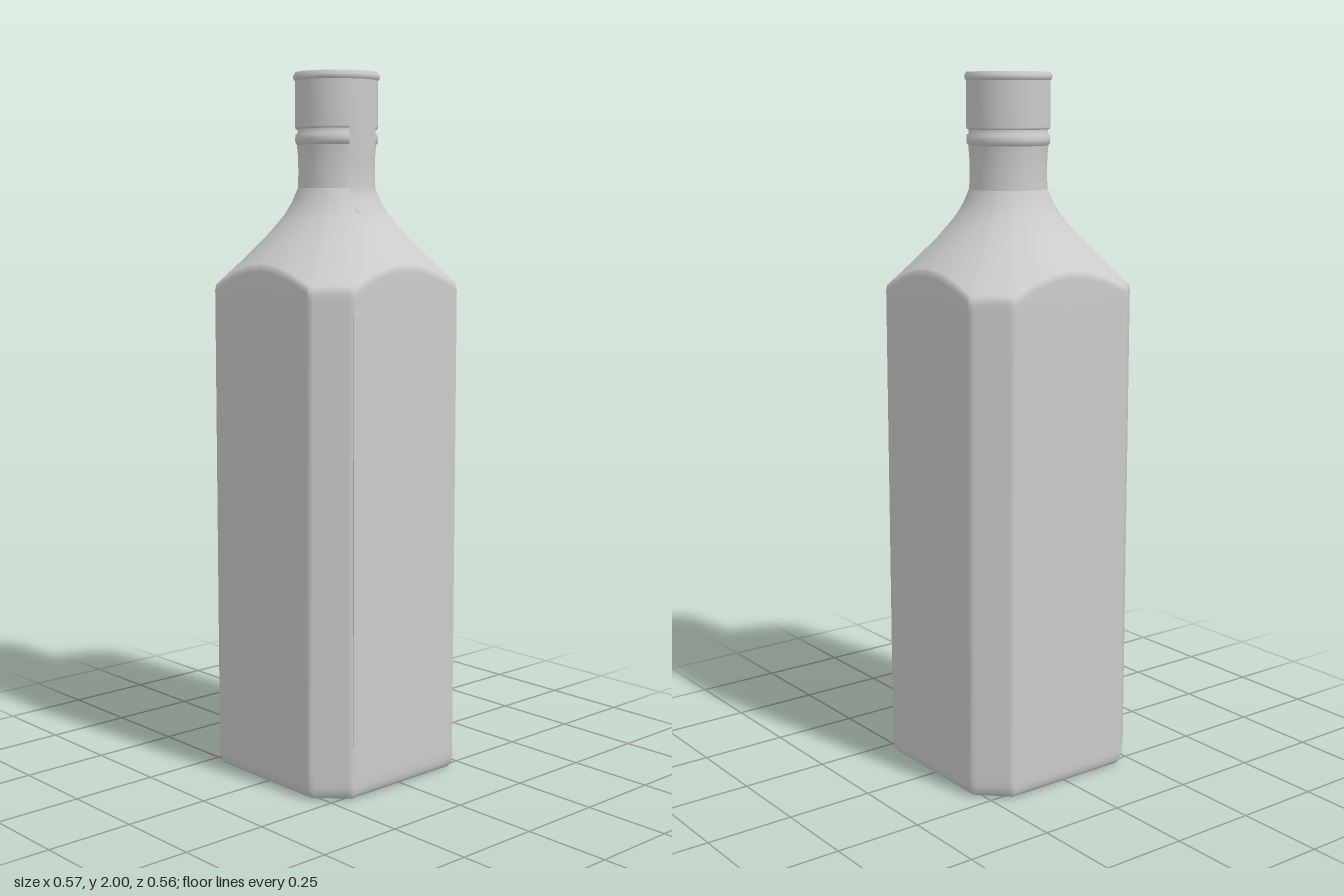
import * as THREE from 'three';

const HALF = 0.282, FLAT = 0.2;          // half width of the body, half width of its flat faces
const material = new THREE.MeshStandardMaterial({ color: 0xcccccc });

// Shoulder height as a function of distance from the axis
const shoulder = [[0.11, 1.68], [0.122, 1.648], [0.15, 1.602], [0.2, 1.545], [0.282, 1.465], [0.345, 1.408]];
function shoulderY(r) {
  let i = 0;
  while (i < shoulder.length - 2 && r > shoulder[i + 1][0]) i++;
  const [r0, y0] = shoulder[i], [r1, y1] = shoulder[i + 1];
  return y0 + (y1 - y0) * (r - r0) / (r1 - r0);
}

// Square outline with cut corners, running from +x towards +z
function outline() {
  const side = [-0.2, -0.19, -0.12, -0.06, 0, 0.06, 0.12, 0.19].map(s => [HALF, s]);
  for (const t of [0, 0.1, 0.5, 0.9]) {
    const d = t * (HALF - FLAT);
    side.push([HALF - d, FLAT + d]);
  }
  const points = [];
  for (let q = 0; q < 4; q++) {
    for (const [x, z] of side) {
      points.push(q === 0 ? [x, z] : q === 1 ? [-z, x] : q === 2 ? [-x, -z] : [z, -x]);
    }
  }
  return points;
}

// Grid of vertices from rings, closed around the axis
function loft(rings) {
  const n = rings[0].length, index = [];
  for (let i = 0; i < rings.length - 1; i++) {
    for (let j = 0; j < n; j++) {
      const k = (j + 1) % n, a = i * n + j, b = i * n + k, c = a + n, d = b + n;
      index.push(a, c, b, b, c, d);
    }
  }
  const geometry = new THREE.BufferGeometry();
  geometry.setAttribute('position', new THREE.Float32BufferAttribute(rings.flat(2), 3));
  geometry.setIndex(index);
  geometry.computeVertexNormals();
  return geometry;
}

function bodyGeometry() {
  const points = outline(), rings = [];
  const scaled = (s, y) => points.map(([x, z]) => [x * s, y, z * s]);
  // hollow in the base, blending from round to the outer outline
  for (const [r, y] of [[0.001, 0.085], [0.03, 0.08], [0.06, 0.06], [0.085, 0.035], [0.11, 0.022], [0.16, 0.012]]) {
    rings.push(points.map(([x, z]) => {
      const l = Math.hypot(x, z);
      return [x / l * r, y, z / l * r];
    }));
  }
  // rounded foot
  for (const [s, y] of [[0.88, 0.002], [0.93, 0], [0.965, 0.004], [0.99, 0.016], [1, 0.035], [1, 0.06]]) rings.push(scaled(s, y));
  // straight walls, ending on the scalloped shoulder line
  rings.push(scaled(1, 0.7), scaled(1, 1.38));
  rings.push(points.map(([x, z]) => [x, shoulderY(Math.hypot(x, z)) - 0.012, z]));
  // shoulder closing in to the neck
  for (const t of [0, 0.04, 0.2, 0.35, 0.5, 0.62, 0.74, 0.84, 0.93, 1]) {
    rings.push(points.map(([x, z]) => {
      const l = Math.hypot(x, z), r = (l - 0.003) * (1 - t) + 0.11 * t;
      return [x / l * r, shoulderY(r), z / l * r];
    }));
  }
  return loft(rings);
}

// Turned part with sharp steps: each profile strip gets its own normals
function turned(profile) {
  return new THREE.LatheGeometry(profile.map(([r, y]) => new THREE.Vector2(r, y)), 40);
}

// Flat panel with an arched top
function labelGeometry() {
  const shape = new THREE.Shape();
  shape.moveTo(-0.197, 0.15);
  shape.lineTo(0.197, 0.15);
  shape.lineTo(0.197, 1.34);
  shape.quadraticCurveTo(0, 1.455, -0.197, 1.34);
  return new THREE.ExtrudeGeometry(shape, { depth: 0.004, bevelEnabled: false, curveSegments: 12 });
}

// Strip following the neck and shoulder on the +x side
function stripGeometry() {
  const path = [[0.118, 1.965], [0.118, 1.8], [0.114, 1.76], [0.113, 1.685], [0.125, 1.651], [0.14, 1.624], [0.153, 1.603]];
  const across = 8, position = [], index = [];
  path.forEach(([r, y], i) => {
    for (let j = 0; j <= across; j++) {
      const s = j / across * 2 - 1, a = Math.asin(0.05 * s / r);
      // rounded lower end
      const drop = i === path.length - 1 ? 0.014 * s ** 4 : 0;
      position.push((r - drop) * Math.cos(a), y + drop, r * Math.sin(a));
      if (i && j) {
        const d = i * (across + 1) + j, c = d - 1, b = d - across - 1, e = b - 1;
        index.push(e, b, c, b, d, c);
      }
    }
  });
  const geometry = new THREE.BufferGeometry();
  geometry.setAttribute('position', new THREE.Float32BufferAttribute(position, 3));
  geometry.setIndex(index);
  geometry.computeVertexNormals();
  return geometry;
}

export function createModel() {
  const bottle = new THREE.Group();
  bottle.name = 'bottle';
  const add = (name, geometry, mat = material) => {
    const mesh = new THREE.Mesh(geometry, mat);
    mesh.name = name;
    bottle.add(mesh);
    return mesh;
  };
  const thin = material.clone();
  thin.side = THREE.DoubleSide;

  add('body', bodyGeometry());
  add('neck', turned([[0.11, 1.675], [0.108, 1.72], [0.109, 1.77], [0.112, 1.8]]));
  // ring and groove under the cap
  add('neckRing', turned([[0.106, 1.798], [0.115, 1.803], [0.117, 1.815], [0.116, 1.828], [0.11, 1.833], [0.11, 1.846]]));
  add('cap', turned([[0.105, 1.844], [0.115, 1.844], [0.117, 1.85], [0.117, 1.978]]));
  add('capLip', turned([[0.116, 1.976], [0.121, 1.981], [0.122, 1.99], [0.116, 2]]));
  const top = add('capTop', new THREE.CircleGeometry(0.116, 40));
  top.rotation.x = -Math.PI / 2;
  top.position.y = 2;
  add('sealStrip', stripGeometry(), thin);

  const label = add('label', labelGeometry());
  label.rotation.y = Math.PI / 2;
  label.position.x = HALF - 0.001;

  bottle.position.x = -0.002;
  return bottle;
}
